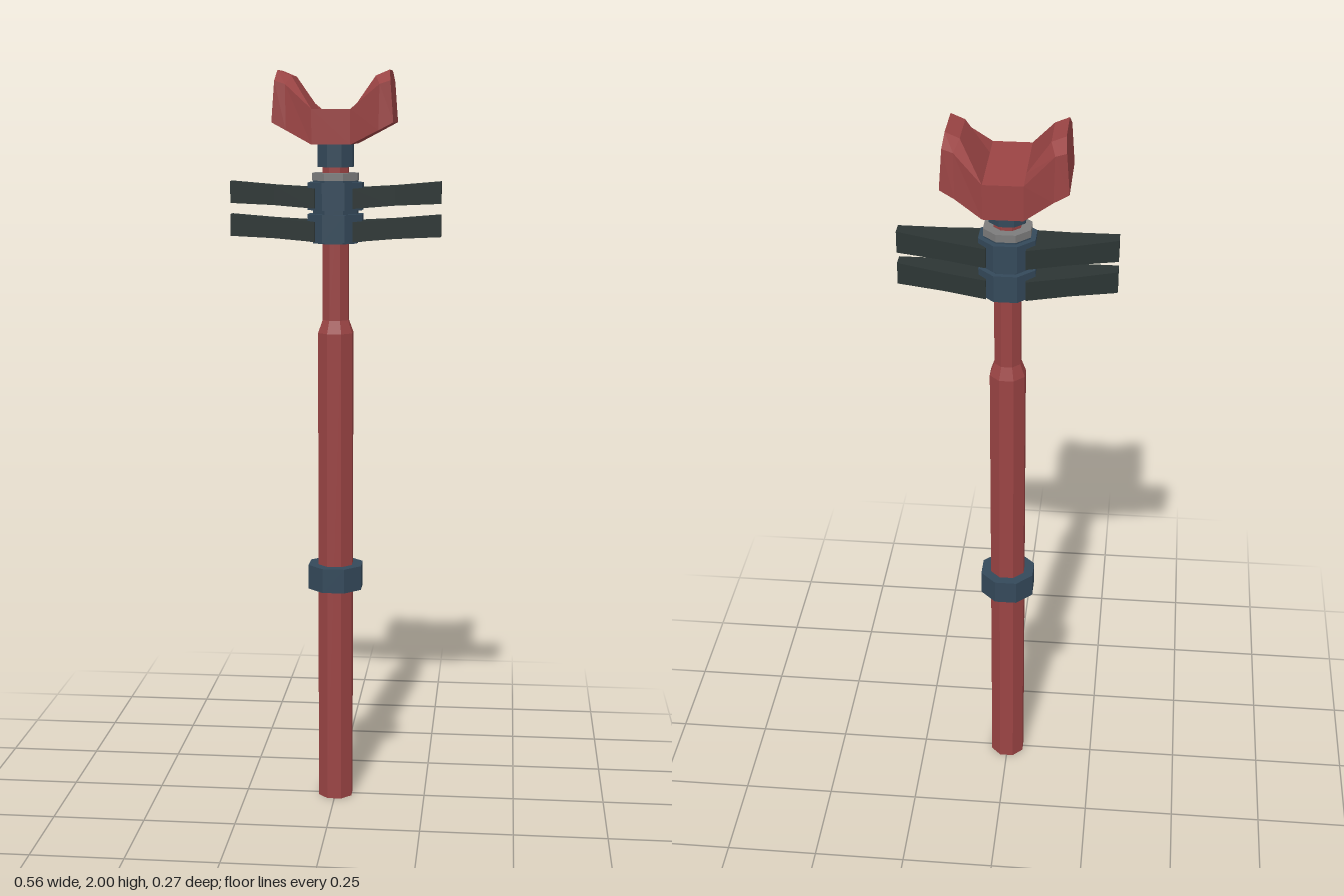
import * as THREE from 'three';

const mat = (name, color) => {
  const m = new THREE.MeshStandardMaterial({ color, flatShading: true });
  m.name = name;
  return m;
};

// Closed solid from equal-length cross-sections ordered along +x
function loft(sections) {
  const n = sections[0].length;
  const index = [];
  for (let s = 0; s < sections.length - 1; s++) {
    for (let i = 0; i < n; i++) {
      const j = (i + 1) % n;
      const a = s * n + i, b = s * n + j;
      index.push(a, a + n, b, b, a + n, b + n);
    }
  }
  const last = (sections.length - 1) * n;
  for (let i = 1; i < n - 1; i++) {
    index.push(0, i, i + 1);
    index.push(last, last + i + 1, last + i);
  }
  const g = new THREE.BufferGeometry();
  g.setAttribute('position', new THREE.Float32BufferAttribute(sections.flat(2), 3));
  g.setIndex(index);
  const flat = g.toNonIndexed();
  flat.computeVertexNormals();
  return flat;
}

export function createModel() {
  const group = new THREE.Group();
  group.name = 'staff';
  const red = mat('red', 0x9a4444);
  const blue = mat('slate blue', 0x34495a);
  const dark = mat('charcoal', 0x2c3534);
  const grey = mat('grey', 0x7c7c7c);

  const add = (name, geometry, material) => {
    const mesh = new THREE.Mesh(geometry, material);
    mesh.name = name;
    group.add(mesh);
    return mesh;
  };

  // Eight-sided section with a flat facing front; half widths across flats
  const octagon = (name, material, y0, y1, half0, half1 = half0) => {
    const k = 1 / Math.cos(Math.PI / 8);
    const g = new THREE.CylinderGeometry(half1 * k, half0 * k, y1 - y0, 8);
    g.rotateY(Math.PI / 8);
    g.translate(0, (y0 + y1) / 2, 0);
    return add(name, g, material);
  };

  // Pole, with a dark foot
  octagon('lowerPole', [red, red, dark], 0, 1.31, 0.046);
  octagon('poleTaper', red, 1.31, 1.345, 0.046, 0.034);
  octagon('upperPole', red, 1.345, 1.78, 0.034);

  // Collars and crossbar hub
  octagon('gripCollar', blue, 0.603, 0.67, 0.072);
  octagon('hubCore', blue, 1.55, 1.715, 0.058);
  octagon('lowerHubCollar', blue, 1.555, 1.627, 0.072);
  octagon('upperHubCollar', blue, 1.638, 1.71, 0.072);
  octagon('hubRing', grey, 1.715, 1.735, 0.06);
  octagon('neckCollar', blue, 1.75, 1.815, 0.046);

  // Paired crossbar arms: taper in plan, lift slightly towards the tips
  const armSection = (x, bottom, top, z) => [
    [x, bottom, z], [x, top, z], [x, top, -z], [x, bottom, -z],
  ];
  for (const [level, y] of [['lower', 1.568], ['upper', 1.655]]) {
    for (const side of [1, -1]) {
      const sections = [
        armSection(side * 0.05, y - 0.012, y + 0.04, 0.061),
        armSection(side * 0.16, y - 0.004, y + 0.047, 0.041),
        armSection(side * 0.28, y, y + 0.058, 0.019),
      ];
      if (side < 0) sections.reverse();
      add(level + (side > 0 ? 'Left' : 'Right') + 'Arm', loft(sections), dark);
    }
  }

  // Forked cradle: each section lists bottom, shoulder and top points as [x, y, z]
  const half = [
    [[0.05, 1.81, 0.134], [0.05, 1.9, 0.134], [0.05, 1.9, 0.06]],
    [[0.12, 1.846, 0.103], [0.122, 1.963, 0.098], [0.11, 1.985, 0.06]],
    [[0.158, 1.866, 0.098], [0.15, 1.972, 0.098], [0.146, 2.0, 0.06]],
  ];
  const cradleSection = (points, side) => [
    ...points.map(([x, y, z]) => [side * x, y, z]),
    ...[...points].reverse().map(([x, y, z]) => [side * x, y, -z]),
  ];
  const cradle = [
    ...[...half].reverse().map((p) => cradleSection(p, -1)),
    ...half.map((p) => cradleSection(p, 1)),
  ];
  add('cradle', loft(cradle), red);

  return group;
}
